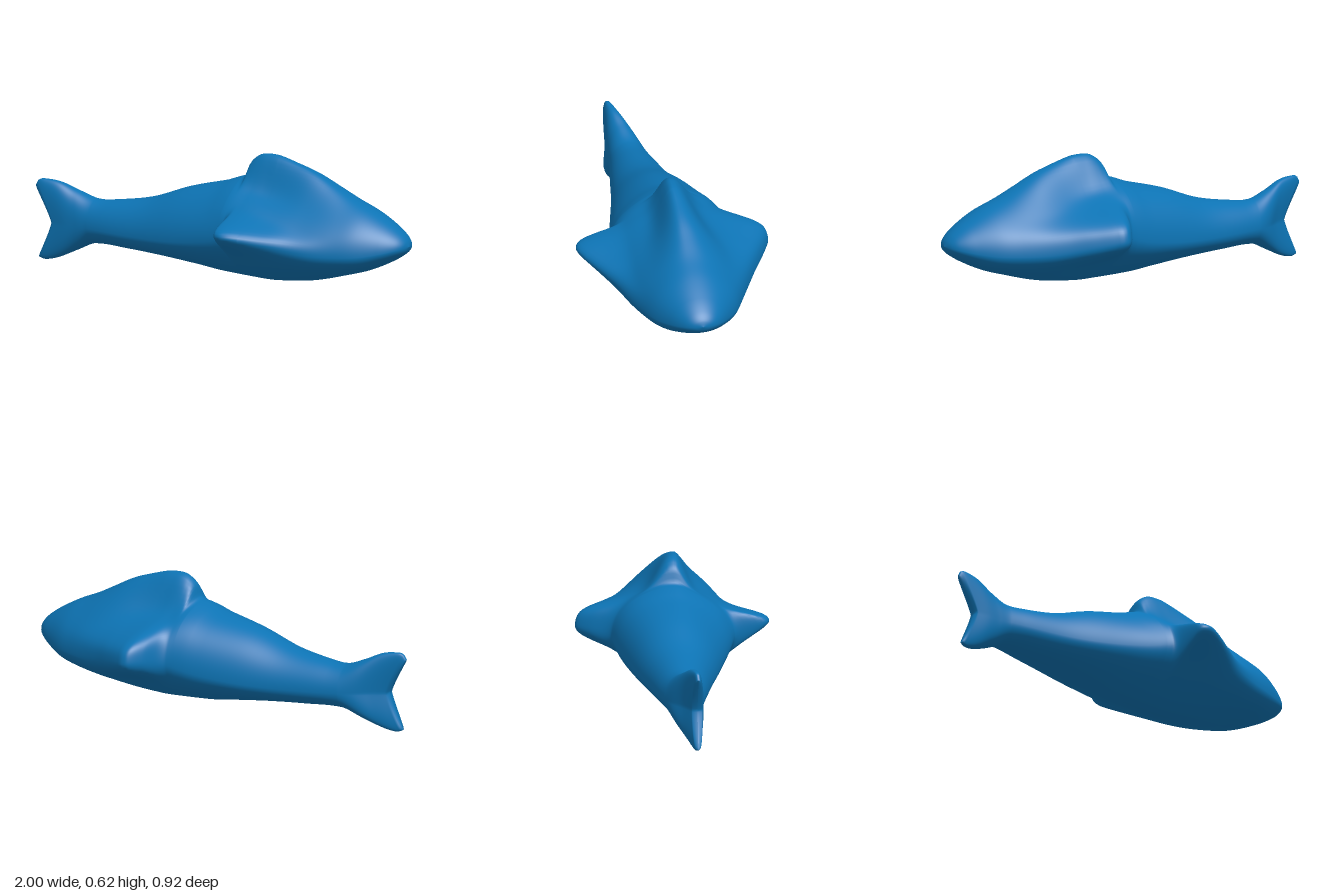
import * as THREE from 'three';

// Smooth curve through [x, value] points
function curve(pts) {
  const slope = i => {
    const a = pts[Math.max(i - 1, 0)], b = pts[Math.min(i + 1, pts.length - 1)];
    return (b[1] - a[1]) / (b[0] - a[0]);
  };
  return x => {
    let i = 0;
    while (i < pts.length - 2 && x > pts[i + 1][0]) i++;
    const [x0, y0] = pts[i], [x1, y1] = pts[i + 1], d = x1 - x0;
    const t = THREE.MathUtils.clamp((x - x0) / d, 0, 1), t2 = t * t, t3 = t2 * t;
    return y0 * (2 * t3 - 3 * t2 + 1) + y1 * (3 * t2 - 2 * t3)
      + d * (slope(i) * (t3 - 2 * t2 + t) + slope(i + 1) * (t3 - t2));
  };
}

// Rounded bump of half height h; a higher power is blunter
const bump = (d, h, power) => Math.exp(-(Math.abs(d / h) ** power));
const step = THREE.MathUtils.smoothstep;

// Body outlines along its length
const middle = curve([[-1, 0.185], [-0.7, 0.182], [-0.4, 0.178], [-0.2, 0.188], [0, 0.215], [0.15, 0.252], [0.25, 0.262],
  [0.4, 0.24], [0.6, 0.212], [0.8, 0.212], [0.9, 0.226], [1, 0.25]]);
const back = curve([[-1, 0.36], [-0.985, 0.385], [-0.95, 0.39], [-0.88, 0.38], [-0.8, 0.345], [-0.7, 0.31], [-0.6, 0.315],
  [-0.4, 0.35], [-0.2, 0.42], [0, 0.47], [0.1, 0.495], [0.2, 0.475], [0.3, 0.46], [0.5, 0.445], [0.7, 0.415],
  [0.8, 0.395], [0.9, 0.35], [0.96, 0.31], [0.99, 0.277], [1, 0.25]]);
const belly = curve([[-1, 0.01], [-0.97, 0], [-0.9, 0.013], [-0.8, 0.055], [-0.7, 0.095], [-0.5, 0.09], [-0.3, 0.075],
  [-0.1, 0.05], [0, 0.035], [0.2, 0.022], [0.3, 0.02], [0.5, 0.04], [0.7, 0.09], [0.8, 0.12], [0.9, 0.165],
  [0.96, 0.2], [0.99, 0.226], [1, 0.25]]);
const halfWidth = curve([[-1, 0.024], [-0.9, 0.05], [-0.8, 0.078], [-0.7, 0.098], [-0.6, 0.12], [-0.4, 0.16], [-0.2, 0.21],
  [0, 0.26], [0.1, 0.285], [0.2, 0.3], [0.3, 0.3], [0.5, 0.28], [0.6, 0.265], [0.7, 0.238], [0.8, 0.2],
  [0.9, 0.14], [0.96, 0.09], [0.99, 0.045], [1, 0]]);
const bend = curve([[-1, 0.053], [-0.9, 0.036], [-0.8, 0.012], [-0.7, 0], [-0.3, -0.008], [0, -0.01], [0.3, 0], [1, 0]]);

// How far each fin stands out of the body, and how the side fins slope
const dorsal = curve([[0, 0], [0.1, 0.01], [0.127, 0.03], [0.14, 0.08], [0.17, 0.122], [0.2, 0.145], [0.24, 0.157],
  [0.3, 0.16], [0.4, 0.138], [0.5, 0.11], [0.6, 0.072], [0.7, 0.037], [0.8, 0.014], [0.9, 0.004], [1, 0]]);
const leftFin = curve([[0, 0], [0.13, 0], [0.15, 0.03], [0.16, 0.085], [0.17, 0.14], [0.2, 0.162], [0.24, 0.158],
  [0.3, 0.132], [0.4, 0.082], [0.5, 0.035], [0.6, 0.01], [0.7, 0], [1, 0]]);
const rightFin = curve([[0, 0], [0.13, 0.005], [0.16, 0.03], [0.2, 0.105], [0.24, 0.157], [0.27, 0.167], [0.3, 0.16],
  [0.4, 0.115], [0.5, 0.07], [0.6, 0.035], [0.7, 0.016], [0.8, 0.007], [0.9, 0], [1, 0]]);
const finDrop = curve([[0, 0], [0.22, 0], [0.4, 0.03], [0.6, 0.065], [1, 0.07]]);

// One point of the skin at station x and angle a around the body
function skin(x, a) {
  const v = Math.cos(a), s = Math.sin(a), w = halfWidth(x), mid = middle(x);
  const tail = Math.max(0, (-0.7 - x) / 0.3);
  let y = mid + v * (v > 0 ? back(x) - mid : mid - belly(x));
  // Keeled belly and uneven shoulders amidships; the tail blade is fuller towards its tips
  const keel = (v < 0 ? -0.35 : s > 0 ? -0.25 : 0.12) * step(x, -0.5, 0.1) * (1 - step(x, 0.5, 0.85));
  let z = w * Math.sign(s) * Math.abs(s) ** (1 - 0.35 * tail) * (1 + keel * v * v);
  // Side fins: the left is thin and pointed, the right is blunt
  const dl = y - 0.3 + finDrop(x), dr = y - 0.285 + finDrop(x);
  if (s > 0) z += leftFin(x) * (dl > 0 ? bump(dl, 0.055, 3) : bump(dl, 0.09, 1.6));
  else z -= rightFin(x) * (dr > 0 ? bump(dr, 0.12, 4.5) : bump(dr, 0.105, 2.6));
  if (v > 0) y += v * dorsal(x) * bump(w * s, 0.088 + 0.08 * step(x, 0.25, 0.75), 2.4);
  // Forked tail: the rear edge is notched at mid height
  const px = tail > 0 ? -0.7 - tail * (0.205 + (v > 0 ? 0.095 : 0.078) * Math.abs(v) ** 1.2) : x;
  return [px, y, z + bend(x)];
}

function bodyGeometry() {
  const stations = [], sides = 128;
  const add = (from, to, n) => { for (let i = 0; i < n; i++) stations.push(from + (to - from) * i / n); };
  add(-1, -0.7, 26);
  add(-0.7, 0.1, 24);
  add(0.1, 0.3, 44);
  add(0.3, 0.9, 30);
  for (let i = 0; i <= 16; i++) stations.push(0.9 + 0.1 * Math.sin(i / 16 * Math.PI / 2));

  const pos = [], index = [];
  // Flat first ring closes the rear edge of the tail
  for (let j = 0; j < sides; j++) {
    const p = skin(-1, j / sides * Math.PI * 2);
    pos.push(p[0] - 0.003, p[1], bend(-1));
  }
  for (const x of stations) for (let j = 0; j < sides; j++) pos.push(...skin(x, j / sides * Math.PI * 2));
  for (let i = 0; i < stations.length; i++) for (let j = 0; j < sides; j++) {
    const k = (j + 1) % sides, a = i * sides + j, b = i * sides + k;
    index.push(a, b, a + sides, b, b + sides, a + sides);
  }
  const g = new THREE.BufferGeometry();
  g.setAttribute('position', new THREE.Float32BufferAttribute(pos, 3));
  g.setIndex(index);
  g.computeVertexNormals();
  return g;
}

export function createModel() {
  const group = new THREE.Group();
  group.name = 'fish';
  const blue = new THREE.MeshStandardMaterial({ color: 0x0d74b5 });
  blue.name = 'ocean blue';
  // Body with fins and tail as one smooth skin
  const body = new THREE.Mesh(bodyGeometry(), blue);
  body.name = 'bodyWithFinsAndTail';
  group.add(body);
  return group;
}
